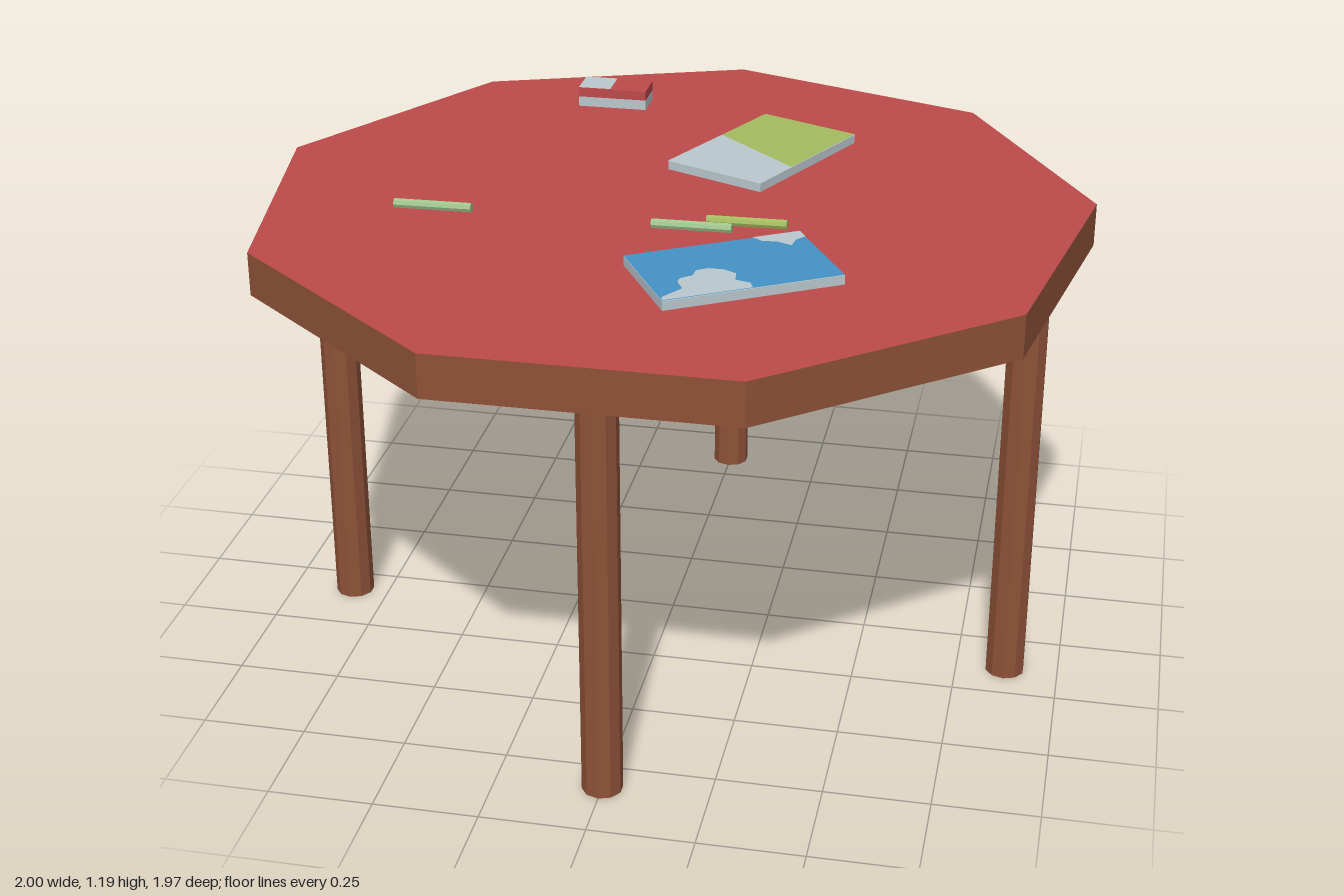
import * as THREE from 'three';

const TOP = 1.14; // height of the table surface

function material(name, color) {
  const m = new THREE.MeshStandardMaterial({ color });
  m.name = name;
  return m;
}

// Faceted cylinder with flat normals
function prism(radius, height, sides, start = 0) {
  const g = new THREE.CylinderGeometry(radius, radius, height, sides, 1, false, start).toNonIndexed();
  g.computeVertexNormals();
  return g;
}

// Outline given as [x, z] pairs on the table
function outline(points) {
  return new THREE.Shape(points.map(([x, z]) => new THREE.Vector2(x, -z)));
}

export function createModel() {
  const red = material('red', 0xbe4a4b);
  const wood = material('wood', 0x8f5238);
  const grey = material('pale grey', 0xbac8ce);
  const green = material('leaf green', 0xa5bb60);
  const blue = material('blue', 0x4592c6);
  const mint = material('mint green', 0xa0c48e);

  const model = new THREE.Group();
  model.name = 'table';

  function add(name, geometry, mat, x = 0, y = 0, z = 0, parent = model) {
    const mesh = new THREE.Mesh(geometry, mat);
    mesh.name = name;
    mesh.position.set(x, y, z);
    parent.add(mesh);
    return mesh;
  }
  function slab(name, points, y, height, mat, parent) {
    const g = new THREE.ExtrudeGeometry(outline(points), { depth: height, bevelEnabled: false });
    return add(name, g.rotateX(-Math.PI / 2), mat, 0, y, 0, parent);
  }
  function face(name, points, y, mat, parent) {
    return add(name, new THREE.ShapeGeometry(outline(points)).rotateX(-Math.PI / 2), mat, 0, y, 0, parent);
  }
  function group(name) {
    const g = new THREE.Group();
    g.name = name;
    model.add(g);
    return g;
  }

  // Nine-sided top: wooden rim, red faces
  add('tableTop', prism(1.0154, 0.105, 9, Math.PI), [wood, red, red], 0, TOP - 0.0525, 0.03);

  // Four legs with red feet
  const legs = { frontLeg: [0, 0.83], backLeg: [0, -0.855], leftLeg: [0.87, 0.137], rightLeg: [-0.84, 0.077] };
  for (const [name, [x, z]] of Object.entries(legs)) {
    add(name, prism(0.048, 1.04, 10), [wood, red, red], x, 0.52, z);
  }

  // Green and grey book with a slanted split on the cover
  const greenBook = group('greenBook');
  const a = [0.13, -0.567], b = [0.378, -0.457], c = [0.2, -0.068], d = [-0.048, -0.178];
  const s1 = [0.048, -0.387], s2 = [0.257, -0.192];
  slab('greenBookPages', [a, b, c, d], TOP, 0.022, grey, greenBook);
  face('greenBookCover', [a, b, s2, s1], TOP + 0.0235, green, greenBook);
  face('greenBookCoverCorner', [s1, s2, c, d], TOP + 0.0235, grey, greenBook);

  // Blue book with two pale patches
  const blueBook = group('blueBook');
  const cover = [[0.34, 0.22], [0.476, 0.452], [0.11, 0.672], [-0.026, 0.44]];
  slab('blueBookPages', cover, TOP, 0.022, grey, blueBook);
  face('blueBookCover', cover, TOP + 0.0235, blue, blueBook);
  face('largePatch', [[0.11, 0.672], [0.105, 0.655], [0.14, 0.6], [0.122, 0.565], [0.125, 0.545], [0.148, 0.525],
    [0.15, 0.495], [0.175, 0.478], [0.21, 0.478], [0.24, 0.495], [0.245, 0.53], [0.28, 0.54], [0.29, 0.564]],
  TOP + 0.025, grey, blueBook);
  face('smallPatch', [[0.34, 0.22], [0.24, 0.28], [0.265, 0.298], [0.3, 0.295], [0.335, 0.31], [0.34, 0.275], [0.358, 0.251]],
    TOP + 0.025, grey, blueBook);

  // Small two-layer box with a pale patch on half of its lid
  const box = group('smallBox');
  add('boxBase', new THREE.BoxGeometry(0.18, 0.026, 0.09), grey, -0.285, TOP + 0.013, -0.645, box);
  add('boxLid', new THREE.BoxGeometry(0.18, 0.024, 0.09), red, -0.285, TOP + 0.038, -0.645, box);
  face('boxPatch', [[-0.375, -0.69], [-0.29, -0.69], [-0.29, -0.6], [-0.375, -0.6]], TOP + 0.0515, grey, box);

  // Pencils lying slightly skewed on the table
  const pencils = [
    ['rightPencil', -0.54, 0.2, mint],
    ['middlePencil', 0.085, 0.207, mint],
    ['greenPencil', 0.207, 0.16, green],
  ];
  for (const [name, x, z, mat] of pencils) {
    const g = prism(0.012, 0.192, 8).rotateZ(-Math.PI / 2 + 0.03).rotateY(-0.05);
    add(name, g, mat, x, TOP + 0.012, z);
  }

  return model;
}
